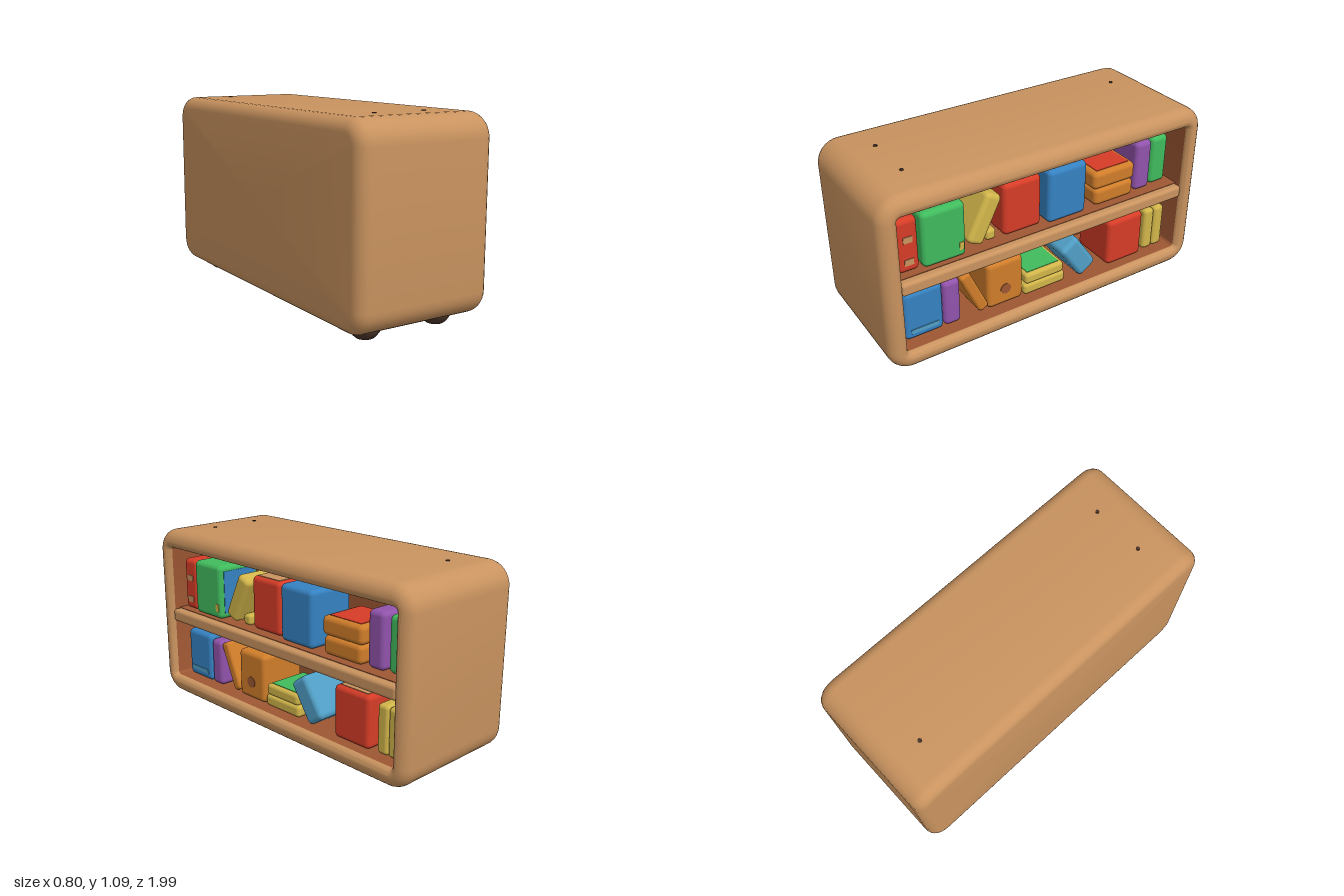
import * as THREE from 'three';
import { toCreasedNormals } from 'three/addons/utils/BufferGeometryUtils.js';
import { RoundedBoxGeometry } from 'three/addons/geometries/RoundedBoxGeometry.js';

const COLORS = {
  tanWood: 0xc9935f, innerWood: 0x9e5733, darkWood: 0x4a3328, red: 0xd63c27, green: 0x40bb5d,
  blue: 0x3582c2, yellow: 0xd1b54a, orange: 0xd07d2a, purple: 0x9153ab, lightBlue: 0x509fc6,
};
const MID_Y = 0.57;

// Skin a row of rounded rectangles [x, halfZ, halfY, cornerRadius] along x.
function loft(sections) {
  const n = 8, count = 4 * (n + 1), pos = [], index = [];
  for (const [x, hz, hy, r] of sections) {
    [[1, 1], [-1, 1], [-1, -1], [1, -1]].forEach(([sy, sz], q) => {
      for (let k = 0; k <= n; k++) {
        const a = (q + k / n) * Math.PI / 2;
        pos.push(x, MID_Y + sy * (hy - r) + r * Math.cos(a), sz * (hz - r) + r * Math.sin(a));
      }
    });
  }
  for (let i = 0; i < sections.length - 1; i++) {
    for (let j = 0; j < count; j++) {
      const a = i * count + j, b = i * count + (j + 1) % count;
      index.push(a, b, b + count, a, b + count, a + count);
    }
  }
  const g = new THREE.BufferGeometry();
  g.setAttribute('position', new THREE.Float32BufferAttribute(pos, 3));
  g.setIndex(index);
  return toCreasedNormals(g, 0.6);
}

export function createModel() {
  const model = new THREE.Group();
  const mats = {};
  for (const [name, color] of Object.entries(COLORS)) {
    mats[name] = new THREE.MeshStandardMaterial({ color });
    mats[name].name = name;
  }
  const add = (name, geometry, mat, x = 0, y = 0, z = 0, parent = model) => {
    const m = new THREE.Mesh(geometry, mats[mat]);
    m.name = name;
    m.position.set(x, y, z);
    parent.add(m);
    return m;
  };

  // Cabinet shell: closed back, rounded rim, rolled lip around the opening
  const HZ = 0.995, HY = 0.512, R = 0.13, B = 0.07, L = 0.035, STEPS = 6;
  const shell = [[-0.4, 0.001, 0.001, 0.0005]];
  const outer = (x, inset) => shell.push([x, HZ - inset, HY - inset, R - inset]);
  for (let i = 0; i <= STEPS; i++) {
    const a = i / STEPS * Math.PI / 2;
    outer(-0.4 + B * (1 - Math.cos(a)), B * (1 - Math.sin(a)));
  }
  for (let i = 0; i <= STEPS; i++) {
    const a = i / STEPS * Math.PI / 2;
    outer(0.4 - B * (1 - Math.sin(a)), B * (1 - Math.cos(a)));
  }
  const OZ = 0.897, OY = 0.403;
  for (let i = 0; i <= STEPS; i++) {
    const a = i / STEPS * Math.PI / 2, s = L * (1 - Math.sin(a));
    shell.push([0.4 - L * (1 - Math.cos(a)), OZ + s, OY + s, 0.02 + s]);
  }
  add('cabinetShell', loft(shell), 'tanWood');

  // Inside of the cabinet
  const BACK = -0.05;
  add('cabinetInterior', loft([[0.365, OZ, OY, 0.02], [BACK, OZ, OY, 0.02], [BACK, 0.001, 0.001, 0.0005]]), 'innerWood');

  // Middle shelf with a darker top
  add('shelf', new RoundedBoxGeometry(0.43, 0.075, 1.8, 3, 0.02), 'tanWood', 0.165, 0.5525, 0);
  add('shelfTop', new THREE.BoxGeometry(0.38, 0.004, 1.79), 'innerWood', 0.145, 0.591, 0);

  // Feet
  const footProfile = [[0, 0], [0.045, 0], [0.06, 0.012], [0.076, 0.035], [0.08, 0.05], [0.074, 0.062], [0.05, 0.08]]
    .map(([x, y]) => new THREE.Vector2(x, y));
  for (const x of [-0.22, 0.22]) for (const z of [-0.79, 0.79]) {
    add('foot', new THREE.LatheGeometry(footProfile, 24), 'darkWood', x, 0, z);
  }

  // Small peg holes on the top
  for (const [x, z] of [[-0.15, -0.76], [-0.15, 0.75], [0.15, 0.75]]) {
    add('pegHole', new THREE.CylinderGeometry(0.011, 0.011, 0.006, 10), 'darkWood', x, 1.083, z);
  }

  // Books: [colour, z centre, y centre, thickness, height, front x, lean]
  const U = 0.593, D = 0.167;
  const upright = (mat, z0, z1, y0, y1, front = 0.3) => [mat, (z0 + z1) / 2, (y0 + y1) / 2, z0 - z1, y1 - y0, front, 0];
  const books = [
    upright('red', 0.875, 0.755, U, 0.9), upright('green', 0.745, 0.5, U, 0.91, 0.32),
    ['yellow', 0.375, 0.745, 0.1, 0.29, 0.3, -0.46],
    upright('yellow', 0.355, 0.295, U, 0.655, 0.27),
    upright('red', 0.255, 0.02, U, 0.9, 0.285), upright('blue', -0.01, -0.26, U, 0.91, 0.31),
    upright('orange', -0.33, -0.6, U, 0.697), upright('orange', -0.32, -0.605, 0.695, 0.8),
    upright('purple', -0.625, -0.735, U, 0.895, 0.285), upright('green', -0.75, -0.865, U, 0.89, 0.27),
    upright('blue', 0.865, 0.64, D, 0.46), upright('purple', 0.635, 0.535, D, 0.445),
    ['orange', 0.45, 0.315, 0.065, 0.29, 0.3, 0.42],
    upright('orange', 0.37, 0.145, D, 0.45), 
    upright('yellow', 0.135, -0.14, D, 0.235), upright('yellow', 0.125, -0.13, 0.234, 0.3),
    ['lightBlue', -0.222, 0.303, 0.13, 0.255, 0.32, 0.6],
    upright('red', -0.43, -0.68, D, 0.46, 0.32),
    upright('yellow', -0.715, -0.787, D, 0.435), upright('yellow', -0.787, -0.86, D, 0.435),
  ];
  const DEPTH = 0.29;
  for (const [mat, z, y, w, h, front, lean] of books) {
    const r = Math.min(0.028, w * 0.3, h * 0.3);
    add(mat + 'Book', new RoundedBoxGeometry(DEPTH, h, w, 3, r), mat, front - DEPTH / 2, y, z).rotation.x = lean;
  }

  // Painted details on the books: thin plates
  const plate = (name, mat, x, y, z, sx, sy, sz) => add(name, new THREE.BoxGeometry(sx, sy, sz), mat, x, y, z);
  for (const y of [0.655, 0.785]) plate('spineLabel', 'tanWood', 0.301, y, 0.815, 0.006, 0.035, 0.05);
  plate('spineLabel', 'yellow', 0.321, 0.66, 0.53, 0.006, 0.045, 0.025);
  plate('bookCover', 'blue', 0.175, 0.752, 0.5, 0.23, 0.25, 0.006);
  plate('pageEdge', 'tanWood', 0.14, 0.9, 0.1375, 0.24, 0.006, 0.18);
  plate('pageEdge', 'tanWood', 0.175, 0.46, -0.555, 0.24, 0.006, 0.19);
  plate('topCover', 'red', 0.155, 0.8, -0.4625, 0.23, 0.006, 0.22);
  plate('topCover', 'green', 0.155, 0.3, 0, 0.24, 0.006, 0.21);
  plate('spineBand', 'lightBlue', 0.301, 0.22, 0.7525, 0.006, 0.025, 0.16);
  add('spineSpot', new THREE.CylinderGeometry(0.032, 0.032, 0.006, 20), 'innerWood', 0.301, 0.27, 0.26).rotation.z = Math.PI / 2;

  return model;
}
